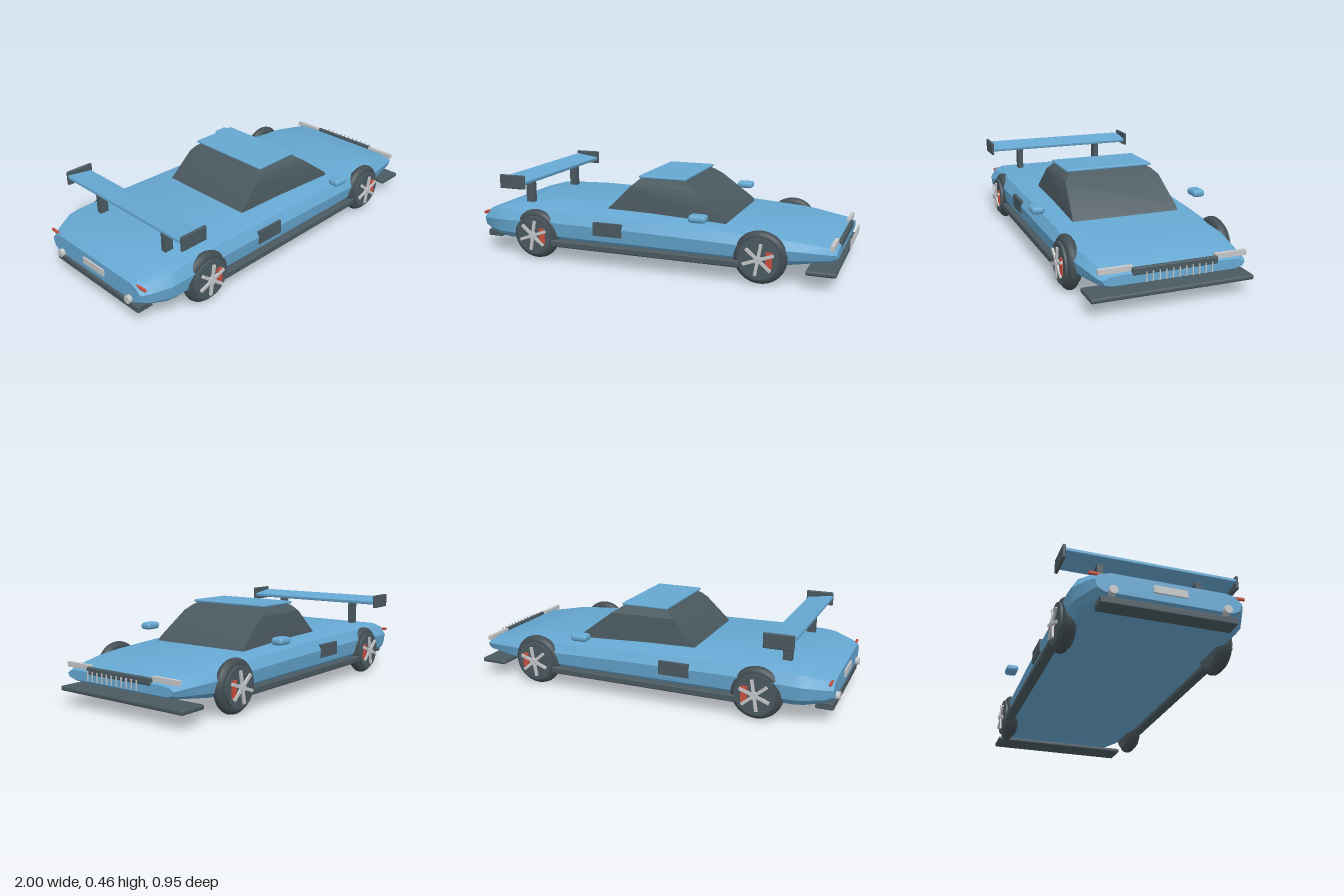
import * as THREE from 'three';
import { toCreasedNormals } from 'three/addons/utils/BufferGeometryUtils.js';
import { RoundedBoxGeometry } from 'three/addons/geometries/RoundedBoxGeometry.js';

const material = (name, color) => {
  const m = new THREE.MeshStandardMaterial({ color });
  m.name = name;
  return m;
};

// Skins a list of closed rings of [x, y, z] points and caps both ends
function loft(rings, crease) {
  const n = rings[0].length;
  const positions = rings.flat(2);
  const index = [];
  for (let i = 0; i < rings.length - 1; i++) {
    for (let j = 0; j < n; j++) {
      const a = i * n + j, b = i * n + (j + 1) % n;
      index.push(a, b, a + n, b, b + n, a + n);
    }
  }
  const last = (rings.length - 1) * n;
  for (let j = 1; j < n - 1; j++) {
    index.push(0, j + 1, j);
    index.push(last, last + j, last + j + 1);
  }
  const g = new THREE.BufferGeometry();
  g.setAttribute('position', new THREE.Float32BufferAttribute(positions, 3));
  g.setIndex(index);
  return toCreasedNormals(g, crease);
}

export function createModel() {
  const paint = material('blue paint', 0x66a8d2);
  const dark = material('dark trim', 0x4a5960);
  const rubber = material('rubber', 0x424d52);
  const silver = material('silver', 0xc4c6c8);
  const red = material('red', 0xc8503f);

  const car = new THREE.Group();
  car.name = 'car';

  const add = (name, geometry, mat, x = 0, y = 0, z = 0, parent = car) => {
    const mesh = new THREE.Mesh(geometry, mat);
    mesh.name = name;
    mesh.position.set(x, y, z);
    parent.add(mesh);
    return mesh;
  };
  const box = (w, h, d) => new THREE.BoxGeometry(w, h, d);
  const rounded = (w, h, d, r) => new RoundedBoxGeometry(w, h, d, 3, r);

  // Wedge body: x, bottom, top, half width
  const stations = [
    [-0.98, 0.125, 0.222, 0.345],
    [-0.94, 0.11, 0.24, 0.372],
    [-0.85, 0.1, 0.264, 0.412],
    [-0.8, 0.095, 0.27, 0.415],
    [-0.55, 0.095, 0.28, 0.41],
    [0, 0.095, 0.272, 0.41],
    [0.35, 0.095, 0.258, 0.408],
    [0.65, 0.095, 0.24, 0.402],
    [0.74, 0.1, 0.232, 0.39],
    [0.93, 0.125, 0.2, 0.358],
    [0.957, 0.138, 0.185, 0.345],
  ];
  const bodyRings = stations.map(([x, b, t, w]) => {
    const h = t - b;
    const half = [
      [t, w - 0.075], [t - h * 0.1, w - 0.03], [t - h * 0.4, w],
      [b + h * 0.2, w - 0.01], [b, w - 0.045],
    ];
    return [
      ...half.map(([y, z]) => [x, y, z]),
      ...half.slice().reverse().map(([y, z]) => [x, y, -z]),
    ];
  });
  add('body', loft(bodyRings, 0.5), paint);

  // Glass cabin: y, rear x, front x, rear and front half widths
  const cabinRings = [
    [0.25, -0.27, 0.4, 0.272, 0.287],
    [0.275, -0.26, 0.385, 0.27, 0.283],
    [0.405, -0.13, 0.215, 0.255, 0.26],
    [0.432, -0.1, 0.175, 0.235, 0.235],
    [0.447, -0.085, 0.155, 0.21, 0.21],
  ].map(([y, r, f, wr, wf]) => [[r, y, wr], [f, y, wf], [f, y, -wf], [r, y, -wr]]);
  add('cabin', loft(cabinRings, 0.5), dark);
  add('roof', rounded(0.26, 0.014, 0.475, 0.006), paint, 0.035, 0.452, 0);

  // Rear wing
  const wing = add('wing', rounded(0.14, 0.02, 0.86, 0.005), paint, -0.737, 0.418, 0);
  wing.rotation.z = -0.14;

  // Wheel with rim, spokes and caliper; side is +1 or -1
  const tyreGeo = new THREE.TorusGeometry(0.104, 0.0285, 14, 40);
  const barrelGeo = new THREE.CylinderGeometry(0.102, 0.102, 0.08, 36).rotateX(Math.PI / 2);
  const hubGeo = new THREE.CylinderGeometry(0.018, 0.018, 0.02, 16).rotateX(Math.PI / 2);
  const spokeGeo = box(0.015, 0.16, 0.01);
  const caliperGeo = box(0.032, 0.08, 0.012);
  const addWheel = (name, x, side) => {
    const wheel = new THREE.Group();
    wheel.name = name;
    wheel.position.set(x, 0.1345, side * 0.385);
    car.add(wheel);
    add('tyre', tyreGeo, rubber, 0, 0, 0, wheel);
    add('rim', barrelGeo, dark, 0, 0, 0, wheel);
    add('hub', hubGeo, silver, 0, 0, side * 0.05, wheel);
    add('caliper', caliperGeo, red, 0.052, 0, side * 0.042, wheel);
    for (let i = 0; i < 3; i++) {
      const spoke = add('spokes', spokeGeo, silver, 0, 0, side * 0.05, wheel);
      spoke.rotation.z = -0.17 + i * Math.PI / 3;
    }
  };

  // Parts mirrored left and right
  for (const side of [1, -1]) {
    const label = side > 0 ? 'left' : 'right';
    addWheel(label + 'FrontWheel', 0.6, side);
    addWheel(label + 'RearWheel', -0.625, side);
    add(label + 'WingEndPlate', rounded(0.148, 0.074, 0.015, 0.005), dark, -0.733, 0.417, side * 0.435);
    add(label + 'WingSupport', box(0.046, 0.15, 0.03), dark, -0.735, 0.34, side * 0.25);
    add(label + 'Mirror', rounded(0.09, 0.038, 0.066, 0.017), paint, 0.302, 0.312, side * 0.44);
    add(label + 'SideSkirt', rounded(1.03, 0.036, 0.05, 0.008), dark, -0.015, 0.097, side * 0.398);
    add(label + 'SideVent', box(0.16, 0.07, 0.016), dark, -0.2, 0.197, side * 0.405);
    add(label + 'Headlight', box(0.02, 0.024, 0.16), silver, 0.935, 0.203, side * 0.28);

    const tail = add(label + 'TailLight', rounded(0.012, 0.016, 0.19, 0.005), red, -0.965, 0.212, side * 0.275);
    tail.rotation.x = -side * 0.06;

    const pipe = new THREE.CylinderGeometry(0.02, 0.02, 0.06, 18).rotateZ(Math.PI / 2);
    add(label + 'Exhaust', pipe, silver, -0.97, 0.133, side * 0.267);
  }

  // Nose: grille, teeth and splitter
  add('grille', rounded(0.02, 0.036, 0.415, 0.007), dark, 0.952, 0.192, 0);
  for (let i = -5; i <= 5; i++) {
    add('grilleTooth', box(0.005, 0.046, 0.005), silver, 0.995, 0.178, i * 0.0317);
  }
  add('splitter', rounded(0.145, 0.024, 0.795, 0.009), dark, 0.892, 0.083, 0);

  // Tail: diffuser and plate
  add('diffuser', rounded(0.088, 0.036, 0.64, 0.006), dark, -0.937, 0.09, 0);
  add('rearPlate', box(0.009, 0.036, 0.16), silver, -0.984, 0.178, 0);

  return car;
}
